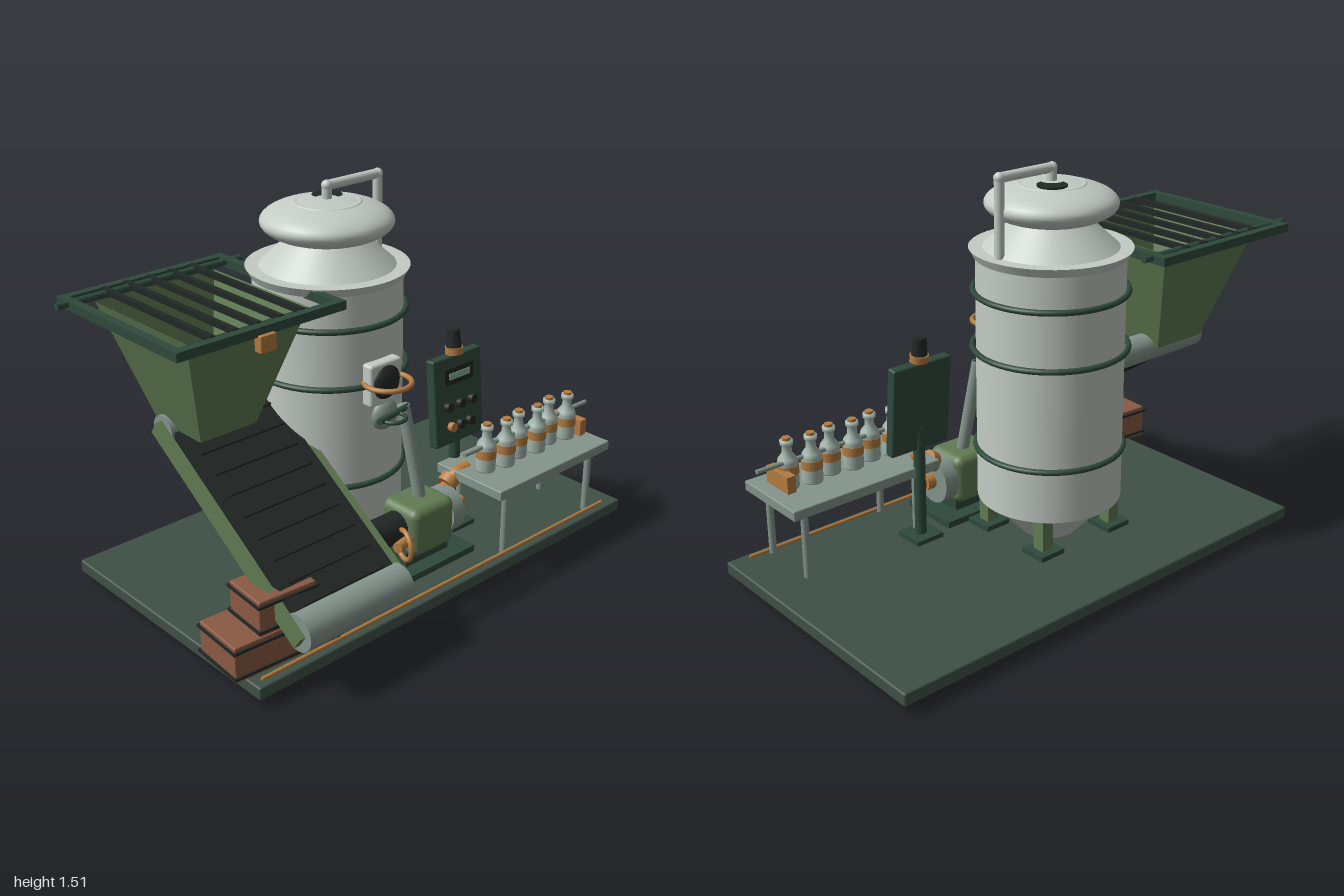
import * as THREE from 'three';
import { RoundedBoxGeometry } from 'three/addons/geometries/RoundedBoxGeometry.js';

const C = {
  base: 0x3f5046, frame: 0x2f4a3c, green: 0x617b52, dark: 0x222826, steel: 0x84948c,
  tank: 0xc4ccc5, orange: 0xb47c40, brown: 0x8a5a43, bottle: 0xa3b5ad, screen: 0x83b09c,
};
const mats = {};
function mat(name, flat = false, double = false) {
  const key = name + flat + double;
  return mats[key] ??= new THREE.MeshStandardMaterial({
    color: C[name], flatShading: flat, side: double ? THREE.DoubleSide : THREE.FrontSide,
  });
}
const V = (x, y, z) => new THREE.Vector3(x, y, z);

export function createModel() {
  const root = new THREE.Group();
  let parent = root;
  const section = (name) => {
    parent = new THREE.Group();
    parent.name = name;
    root.add(parent);
    return parent;
  };
  const add = (name, geo, color, x = 0, y = 0, z = 0, double = false) => {
    const m = new THREE.Mesh(geo, mat(color, false, double));
    m.name = name;
    m.position.set(x, y, z);
    parent.add(m);
    return m;
  };
  const box = (name, w, h, d, color, x, y, z, r = 0) =>
    add(name, r ? new RoundedBoxGeometry(w, h, d, 3, r) : new THREE.BoxGeometry(w, h, d), color, x, y, z);
  // Cylinder between two points
  const rod = (name, a, b, r, color, r2 = r, sides = 20) => {
    const m = add(name, new THREE.CylinderGeometry(r2, r, a.distanceTo(b), sides), color);
    m.position.copy(a).lerp(b, 0.5);
    m.quaternion.setFromUnitVectors(V(0, 1, 0), b.clone().sub(a).normalize());
    return m;
  };
  const ring = (name, R, r, color, x, y, z) => {
    const m = add(name, new THREE.TorusGeometry(R, r, 10, 48), color, x, y, z);
    m.rotation.x = Math.PI / 2;
    return m;
  };
  const lathe = (name, pts, color, x, y, z, seg = 48) =>
    add(name, new THREE.LatheGeometry(pts.map(p => new THREE.Vector2(...p)), seg).toNonIndexed(), color, x, y, z, true);

  // Floor plate with edge trim
  section('floor');
  box('floorPlate', 1.885, 0.05, 1.085, 'base', 0.0575, 0.06, -0.0575, 0.008);
  rod('edgePipe', V(-0.85, 0.09, 0.452), V(0.92, 0.09, 0.452), 0.007, 'orange');

  // Tank
  section('tank');
  const tx = -0.075, tz = -0.09;
  rod('tankBody', V(tx, 0.24, tz), V(tx, 1.19, tz), 0.272, 'tank', 0.272, 64);
  rod('tankCone', V(tx, 0.09, tz), V(tx, 0.245, tz), 0.11, 'tank', 0.25, 48);
  rod('tankFlange', V(tx, 1.175, tz), V(tx, 1.208, tz), 0.278, 'tank', 0.296, 64);
  rod('tankShoulder', V(tx, 1.205, tz), V(tx, 1.32, tz), 0.25, 'tank', 0.125, 48);
  add('lid', new THREE.SphereGeometry(0.24, 48, 24), 'tank', tx, 1.367, tz).scale.y = 0.325;
  rod('lidCap', V(tx, 1.415, tz), V(tx, 1.437, tz), 0.15, 'tank', 0.12, 48);
  rod('lidHatch', V(-0.035, 1.425, -0.135), V(-0.035, 1.4435, -0.135), 0.055, 'dark');
  rod('drain', V(tx, 0.015, tz), V(tx, 0.1, tz), 0.028, 'steel');
  [[0.445, 0.276], [0.835, 0.285], [1.05, 0.282]].forEach(([y, R]) => ring('tankBand', R, 0.011, 'frame', tx, y, tz));
  for (const sx of [-1, 1]) for (const sz of [-1, 1]) {
    const lx = tx + sx * 0.17, lz = tz + sz * 0.155;
    box('tankLeg', 0.05, 0.24, 0.05, 'green', lx, 0.22, lz);
    box('tankFoot', 0.11, 0.02, 0.11, 'frame', lx, 0.105, lz);
  }
  const vent = [V(tx, 1.42, tz), V(tx, 1.49, tz), V(0.167, 1.49, tz), V(0.167, 1.205, tz)];
  for (let i = 0; i < 3; i++) {
    rod('ventPipe', vent[i], vent[i + 1], 0.018, 'tank');
    if (i) add('ventElbow', new THREE.SphereGeometry(0.02, 16, 12), 'tank', ...vent[i].toArray());
  }

  // Sight window and sampling valve on the tank front
  section('tankFittings');
  box('windowPlate', 0.15, 0.16, 0.05, 'tank', tx, 0.84, 0.195, 0.012);
  add('window', new THREE.SphereGeometry(0.068, 28, 18), 'dark', tx, 0.843, 0.205).scale.z = 0.6;
  ring('windowHandle', 0.085, 0.01, 'orange', tx, 0.845, 0.225);
  add('valve', new THREE.SphereGeometry(0.06, 24, 16), 'steel', -0.05, 0.7, 0.18).scale.z = 0.6;
  ring('valveHandle', 0.045, 0.008, 'frame', -0.05, 0.7, 0.23);
  rod('valvePipe', V(-0.12, 0.705, 0.23), V(0.05, 0.705, 0.2), 0.012, 'frame');

  // Hopper with grate
  section('hopper');
  const hx = -0.617, hz = -0.11;
  const cone = new THREE.CylinderGeometry(0.247 * Math.SQRT2, 0.118 * Math.SQRT2, 0.43, 4, 1, true).rotateY(Math.PI / 4);
  const hopper = add('hopperShell', cone, 'green', hx, 0.965, hz);
  hopper.material = mat('green', true, true);
  hopper.scale.z = 1.05;
  for (const s of [-1, 1]) {
    box('hopperFrameSide', 0.032, 0.032, 0.685, 'frame', hx + s * 0.326, 1.185, hz);
    box('hopperFrameEnd', 0.685, 0.032, 0.032, 'frame', hx, 1.185, hz + s * 0.326);
  }
  rod('hopperCrossBar', V(-1, 1.19, -0.39), V(-0.235, 1.19, -0.39), 0.013, 'frame');
  for (let i = -2; i <= 2; i++) box('grateBar', 0.02, 0.02, 0.62, 'dark', hx + i * 0.091, 1.195, hz);
  box('hopperLatch', 0.065, 0.06, 0.035, 'orange', -0.617, 1.145, 0.23, 0.004);

  // Inclined conveyor
  const conveyor = section('conveyor');
  conveyor.position.set(-0.53, 0.5025, 0.18);
  conveyor.rotation.x = Math.atan2(0.475, 0.7);
  const half = 0.423;
  box('belt', 0.44, 0.07, half * 2, 'dark', 0, 0, 0);
  for (let i = 0; i < 9; i++) box('cleat', 0.36, 0.016, 0.008, 'dark', 0, 0.04, -0.36 + i * 0.09);
  rod('upperRoller', V(-0.23, 0, -half), V(0.22, 0, -half), 0.054, 'steel', 0.054, 32);
  rod('lowerRoller', V(-0.23, 0, half), V(0.232, 0, half), 0.067, 'steel', 0.067, 32);
  for (const s of [-1, 1]) {
    box('conveyorRail', 0.026, 0.055, 0.9, 'green', s * 0.242, 0, 0.005);
    rod('conveyorLeg', V(s * 0.2, 0, 0.36), V(s * 0.21, -0.31, 0.37), 0.018, 'green');
    box('conveyorFoot', 0.115, 0.02, 0.08, 'dark', s * 0.2, -0.315, 0.372);
  }

  // Stacked crates
  section('crates');
  const crate = (w, h, d, x, y, z, turn) => {
    const g = new THREE.Group();
    g.name = 'crate';
    g.position.set(x, y, z);
    g.rotation.y = turn;
    root.getObjectByName('crates').add(g);
    parent = g;
    box('crateBody', w, h, d, 'brown', 0, 0, 0, 0.005);
    for (const s of [-1, 1]) box('crateStrap', w + 0.014, 0.009, d + 0.014, 'dark', 0, s * h * 0.36, 0);
  };
  crate(0.43, 0.135, 0.21, -0.72, 0.172, 0.345, -0.07);
  crate(0.225, 0.13, 0.175, -0.725, 0.308, 0.365, -0.08);

  // Pump with motor, inlet and riser
  section('pump');
  box('pumpBase', 0.37, 0.025, 0.25, 'frame', 0.06, 0.11, 0.25);
  box('pumpPedestal', 0.22, 0.07, 0.13, 'frame', 0.05, 0.145, 0.25);
  box('pumpBody', 0.215, 0.195, 0.19, 'green', 0.062, 0.252, 0.25, 0.035);
  rod('motor', V(-0.205, 0.265, 0.25), V(-0.04, 0.265, 0.25), 0.06, 'dark', 0.06, 24);
  rod('pumpHead', V(0.165, 0.25, 0.25), V(0.225, 0.25, 0.25), 0.09, 'steel', 0.09, 36);
  rod('pumpNozzle', V(0.22, 0.25, 0.25), V(0.3, 0.25, 0.25), 0.018, 'orange');
  rod('pumpCollar', V(0.22, 0.25, 0.25), V(0.262, 0.25, 0.25), 0.03, 'orange');
  const wheel = add('handWheel', new THREE.TorusGeometry(0.056, 0.01, 10, 36), 'orange', -0.085, 0.235, 0.33);
  wheel.rotation.y = Math.PI / 2 - 0.3;
  rod('wheelHub', V(-0.12, 0.235, 0.33), V(-0.04, 0.235, 0.31), 0.02, 'orange');
  rod('riserPipe', V(0.075, 0.34, 0.245), V(0.038, 0.71, 0.19), 0.024, 'steel');
  const elbow = new THREE.CatmullRomCurve3([V(0.19, 0.31, 0.235), V(0.24, 0.33, 0.235), V(0.28, 0.365, 0.235), V(0.34, 0.372, 0.24)]);
  add('fillPipe', new THREE.TubeGeometry(elbow, 20, 0.026, 14), 'orange');
  rod('fillCollar', V(0.225, 0.335, 0.235), V(0.255, 0.355, 0.235), 0.038, 'orange');

  // Control panel
  section('controlPanel');
  box('panelFoot', 0.12, 0.018, 0.12, 'frame', 0.352, 0.1, 0.16);
  rod('panelPost', V(0.352, 0.1, 0.16), V(0.352, 0.55, 0.155), 0.022, 'frame');
  const panel = new THREE.Group();
  panel.name = 'panelHead';
  panel.position.set(0.353, 0.635, 0.15);
  panel.rotation.x = -0.09;
  parent.add(panel);
  parent = panel;
  box('panelCase', 0.258, 0.35, 0.042, 'frame', 0, 0, 0, 0.008);
  box('display', 0.155, 0.066, 0.012, 'dark', 0, 0.098, 0.022);
  box('displayGlass', 0.11, 0.025, 0.006, 'screen', 0, 0.098, 0.028);
  for (let row = 0; row < 2; row++) for (let i = -1; i <= 1; i++) {
    const x = i * (row ? 0.05 : 0.065), y = -0.02 - row * 0.083;
    rod('button', V(x, y, 0.015), V(x, y, 0.042), 0.018, row && i < 0 ? 'orange' : 'dark');
  }
  rod('beaconBase', V(0, 0.175, 0.005), V(0, 0.202, 0.005), 0.035, 'orange');
  rod('beacon', V(0, 0.2, 0.005), V(0, 0.27, 0.005), 0.03, 'dark', 0.024);

  // Filling table with bottles
  section('table');
  box('tableTop', 0.64, 0.04, 0.33, 'steel', 0.58, 0.365, 0.318, 0.005);
  for (const x of [0.342, 0.832]) for (const z of [0.2, 0.435])
    rod('tableLeg', V(x, 0.01, z), V(x, 0.35, z), 0.014, 'steel');
  rod('guideRail', V(0.225, 0.49, 0.322), V(0.938, 0.49, 0.322), 0.009, 'steel');
  box('endStop', 0.035, 0.065, 0.14, 'orange', 0.84, 0.432, 0.325);
  for (let i = 0; i < 6; i++) {
    const x = 0.356 + i * 0.0895, z = i % 2 ? 0.335 : 0.317;
    lathe('bottle', [[0, 0], [0.036, 0], [0.038, 0.005], [0.038, 0.1], [0.034, 0.115], [0.019, 0.135],
      [0.017, 0.165], [0.024, 0.168], [0.024, 0.185], [0, 0.185]], 'bottle', x, 0.385, z, 24);
    rod('bottleLabel', V(x, 0.44, z), V(x, 0.475, z), 0.0395, 'orange', 0.0395, 24);
    rod('bottleCap', V(x, 0.56, z), V(x, 0.58, z), 0.016, 'orange');
  }
  return root;
}
